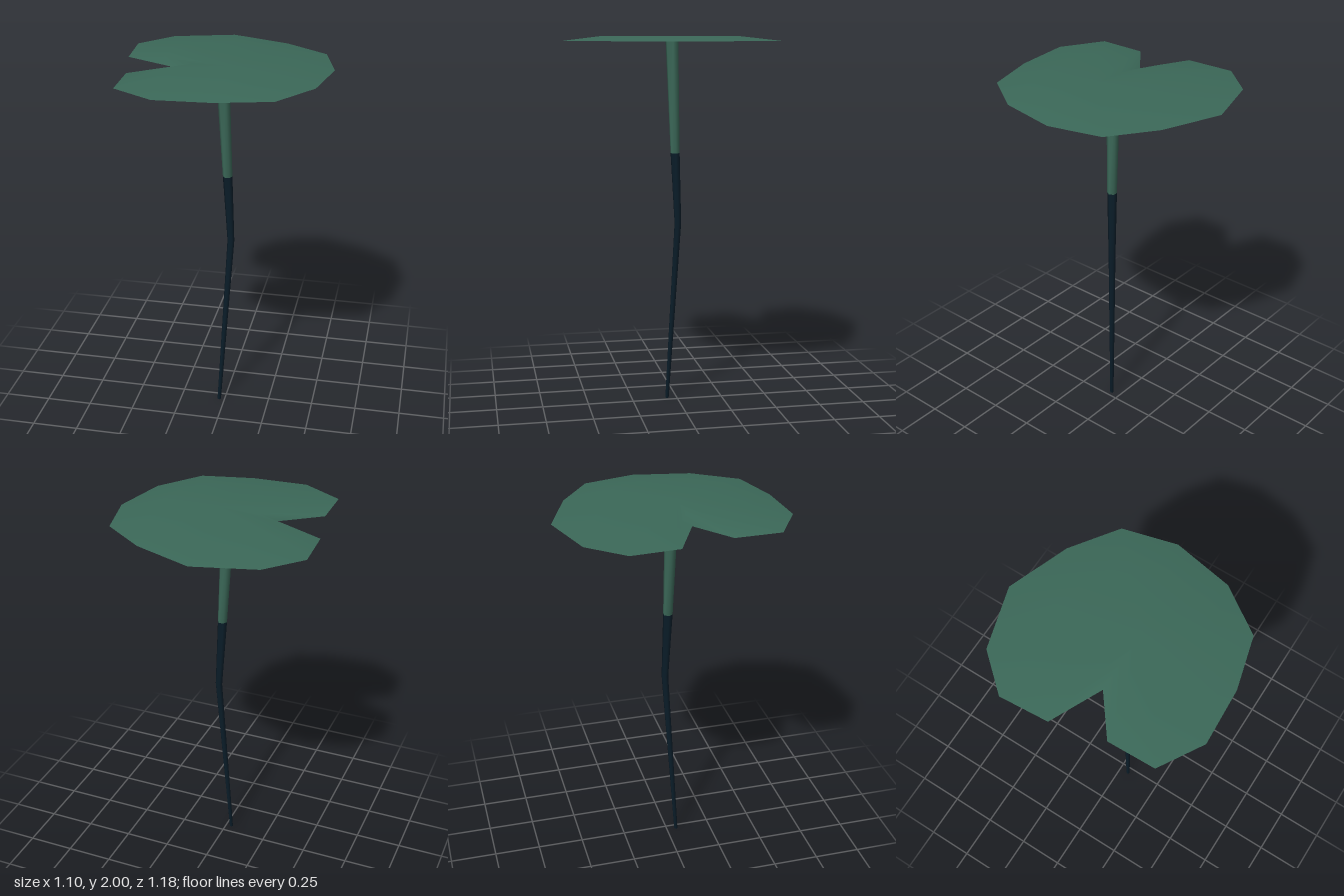
import * as THREE from 'three';

const SIDES = 6;
const PAD_Y = 1.975, TOP_Y = 2;
const CENTRE = [0.05, 0.07];

// Pad rim as [x, z], clockwise seen from above, with a notch on one side
const RIM = [
  [-0.07, -0.595], [0.245, -0.477], [0.475, -0.315], [0.547, -0.04], [0.49, 0.27],
  [0.33, 0.503], [0.055, 0.575], [-0.24, 0.59], [-0.46, 0.458], [-0.467, 0.21],
  [-0.27, 0.06], [-0.532, -0.065], [-0.55, -0.32], [-0.39, -0.502],
];

function build(positions, indices) {
  const g = new THREE.BufferGeometry();
  g.setAttribute('position', new THREE.Float32BufferAttribute(positions, 3));
  g.setIndex(indices);
  g.computeVertexNormals();
  return g;
}

// The rim scaled about the pad centre at a height, followed by the centre point
function ring(scale, y) {
  const out = [];
  for (const [x, z] of RIM) {
    out.push(CENTRE[0] + (x - CENTRE[0]) * scale, y, CENTRE[1] + (z - CENTRE[1]) * scale);
  }
  return out;
}

// Bevelled upper face of the pad
function padTop() {
  const n = RIM.length, idx = [];
  const pos = [...ring(1, PAD_Y), ...ring(0.635, TOP_Y), CENTRE[0], TOP_Y, CENTRE[1]];
  for (let i = 0; i < n; i++) {
    const k = (i + 1) % n;
    idx.push(i, n + i, n + k, i, n + k, k, 2 * n, n + k, n + i);
  }
  return build(pos, idx);
}

// Flat underside of the pad
function padUnderside() {
  const n = RIM.length, idx = [];
  for (let i = 0; i < n; i++) idx.push(n, i, (i + 1) % n);
  return build([...ring(1, PAD_Y), CENTRE[0], PAD_Y, CENTRE[1]], idx);
}

// Loft through horizontal sections given as [x, y, z, radius]
function stem(sections, capBottom) {
  const pos = [], idx = [];
  for (const [x, y, z, r] of sections) {
    for (let j = 0; j < SIDES; j++) {
      const a = (j / SIDES) * Math.PI * 2;
      pos.push(x + r * Math.cos(a), y, z + r * Math.sin(a));
    }
  }
  for (let s = 0; s < sections.length - 1; s++) {
    for (let j = 0; j < SIDES; j++) {
      const a = s * SIDES + j, b = s * SIDES + (j + 1) % SIDES;
      idx.push(b, a, a + SIDES, b, a + SIDES, b + SIDES);
    }
  }
  if (capBottom) for (let j = 1; j < SIDES - 1; j++) idx.push(0, j, j + 1);
  return build(pos, idx);
}

export function createModel() {
  const green = new THREE.MeshStandardMaterial({ color: 0x3b6858 });
  green.name = 'leaf green';
  const navy = new THREE.MeshStandardMaterial({ color: 0x0a1d29 });
  navy.name = 'deep water blue';

  const model = new THREE.Group();
  model.name = 'lilyPad';
  const add = (name, geometry, material) => {
    const mesh = new THREE.Mesh(geometry, material);
    mesh.name = name;
    model.add(mesh);
  };

  add('padTop', padTop(), green);
  add('padUnderside', padUnderside(), green);

  // Stem bends in the middle and thins towards the root
  const joint = [0.01, 1.38, 0.015, 0.026];
  add('upperStem', stem([joint, [-0.015, PAD_Y, 0.027, 0.036]], false), green);
  add('lowerStem', stem([[-0.031, 0, 0.054, 0.01], [0.026, 1, 0.003, 0.019], joint], true), navy);
  return model;
}
